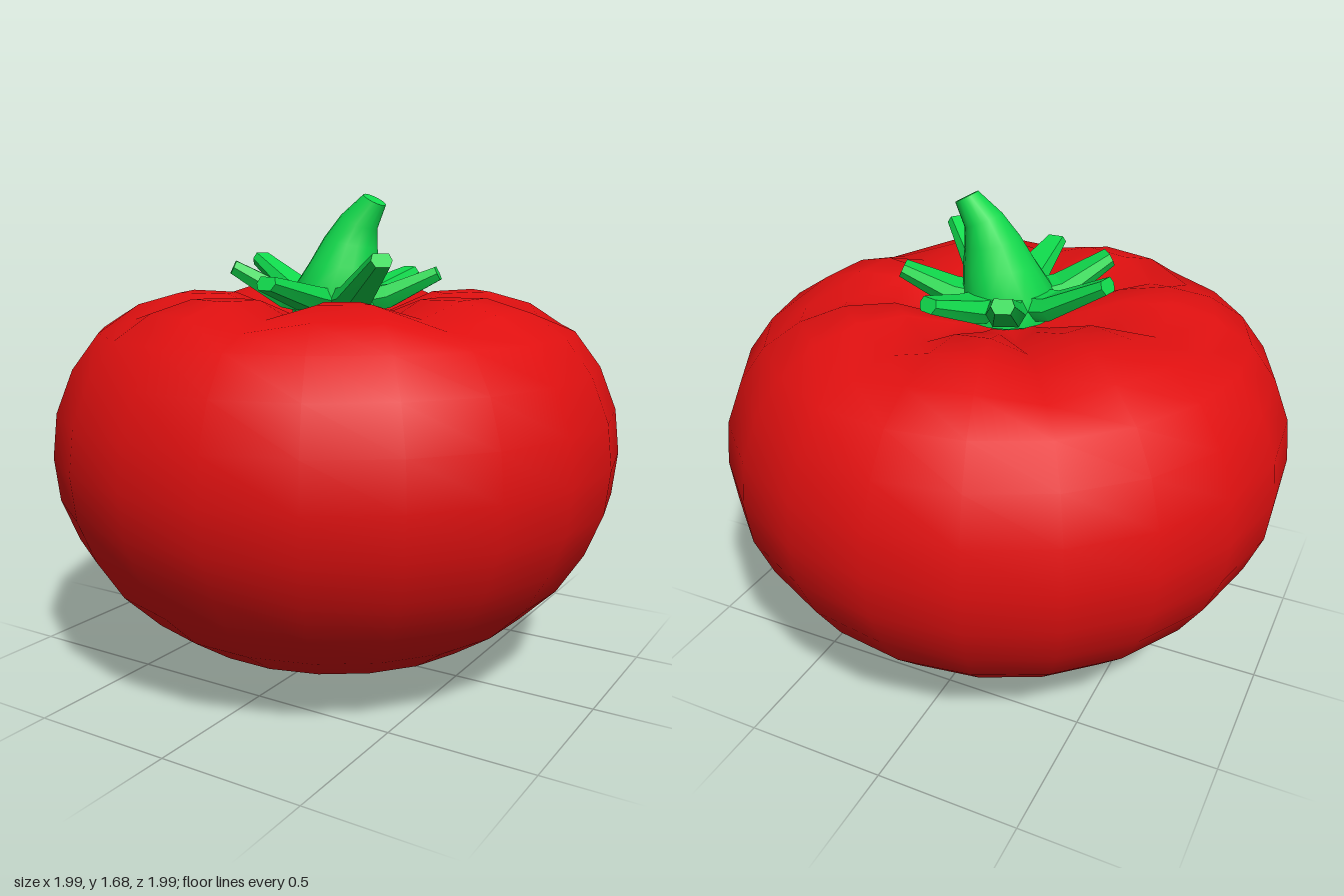
import * as THREE from 'three';
import { mergeVertices, toCreasedNormals } from 'three/addons/utils/BufferGeometryUtils.js';

const red = new THREE.MeshStandardMaterial({ color: 0xe01010 });
red.name = 'tomatoRed';
const green = new THREE.MeshStandardMaterial({ color: 0x10da4c });
green.name = 'leafGreen';

// Skin a closed solid over rings of points, with capped ends
function loft(rings, crease) {
  const out = [];
  const tri = (...pts) => pts.forEach((p) => out.push(p.x, p.y, p.z));
  const n = rings[0].length;
  for (let i = 0; i < rings.length - 1; i++) {
    for (let j = 0; j < n; j++) {
      const k = (j + 1) % n;
      tri(rings[i][j], rings[i][k], rings[i + 1][k]);
      tri(rings[i][j], rings[i + 1][k], rings[i + 1][j]);
    }
  }
  const first = rings[0];
  const last = rings[rings.length - 1];
  for (let j = 1; j < n - 1; j++) {
    tri(first[0], first[j + 1], first[j]);
    tri(last[0], last[j], last[j + 1]);
  }
  const geo = new THREE.BufferGeometry();
  geo.setAttribute('position', new THREE.Float32BufferAttribute(out, 3));
  return toCreasedNormals(geo, crease);
}

function addMesh(group, geo, material, name) {
  const mesh = new THREE.Mesh(geo, material);
  mesh.name = name;
  group.add(mesh);
}

// Squat fruit with a dimple and seven creases running into it
function fruitGeometry() {
  const profile = [
    [0, 0.005], [0.2, 0.022], [0.39, 0.068], [0.56, 0.143], [0.71, 0.243], [0.835, 0.365],
    [0.925, 0.505], [0.983, 0.65], [1, 0.8], [0.983, 0.953], [0.925, 1.1], [0.835, 1.22],
    [0.71, 1.3], [0.56, 1.342], [0.39, 1.338], [0.2, 1.27], [0, 1.22],
  ];
  const drop = { 12: 0.035, 13: 0.05, 14: 0.055, 15: 0.04 }; // crease depth per ring
  const sides = 21;
  const geo = new THREE.LatheGeometry(profile.map(([r, y]) => new THREE.Vector2(r, y)), sides, Math.PI);
  const pos = geo.attributes.position;
  for (let i = 0; i <= sides; i++) {
    if (i % 3 !== 2) continue;
    for (const ring in drop) {
      const v = i * profile.length + Number(ring);
      pos.setY(v, pos.getY(v) - drop[ring]);
    }
  }
  geo.deleteAttribute('uv');
  geo.deleteAttribute('normal');
  const welded = mergeVertices(geo, 1e-4);
  welded.computeVertexNormals();
  return welded;
}

// Tapered six-sided leaf from the calyx centre to its raised tip
function leafGeometry(tipX, tipY, tipZ) {
  const reach = Math.hypot(tipX, tipZ);
  const out = new THREE.Vector3(tipX / reach, 0, tipZ / reach);
  const side = new THREE.Vector3(out.z, 0, -out.x);
  const sections = [ // distance, height, half width, half thickness, lean
    [0.06, 1.31, 0.078, 0.045, 0],
    [0.19, 1.335, 0.066, 0.04, 0.3],
    [reach - 0.01, tipY - 0.025, 0.037, 0.024, 0.45],
  ];
  const outline = [[1, 0], [0.75, 1], [-0.75, 1], [-1, 0], [-0.65, -1], [0.65, -1]];
  return loft(sections.map(([d, y, w, t, lean]) => outline.map(([a, b]) => {
    const p = out.clone().multiplyScalar(d - b * t * Math.sin(lean));
    p.addScaledVector(side, a * w);
    p.y = y + b * t * Math.cos(lean);
    return p;
  })), 0.2);
}

// Stem that narrows and leans to the left
function stemGeometry() {
  const rings = [ // x, y, z, radius, tilt
    [0, 1.27, 0, 0.16, 0], [0, 1.36, 0, 0.155, 0], [0.03, 1.44, -0.005, 0.125, 0.08],
    [0.052, 1.52, -0.012, 0.096, 0.2], [0.082, 1.59, -0.018, 0.068, 0.4],
    [0.14, 1.665, -0.025, 0.043, 0.5],
  ];
  const sides = 16;
  return loft(rings.map(([x, y, z, r, tilt]) => Array.from({ length: sides }, (_, j) => {
    const a = (j / sides) * Math.PI * 2;
    const c = r * Math.cos(a);
    return new THREE.Vector3(x + c * Math.cos(tilt), y - c * Math.sin(tilt), z - r * Math.sin(a));
  })), 0.8);
}

export function createModel() {
  const model = new THREE.Group();
  model.name = 'tomato';
  addMesh(model, fruitGeometry(), red, 'fruit');

  const calyx = new THREE.Group();
  calyx.name = 'calyx';
  const hub = new THREE.CylinderGeometry(0.15, 0.12, 0.1, 14);
  hub.translate(0, 1.3, 0);
  addMesh(calyx, toCreasedNormals(hub, 0.6), green, 'calyxHub');
  const tips = [
    [0, 1.42, 0.44], [-0.29, 1.46, 0.235], [-0.4, 1.48, -0.085], [-0.165, 1.48, -0.39],
    [0.115, 1.43, -0.37], [0.35, 1.44, -0.125], [0.345, 1.495, 0.28],
  ];
  tips.forEach((tip, i) => addMesh(calyx, leafGeometry(...tip), green, `leaf${i + 1}`));
  model.add(calyx);

  addMesh(model, stemGeometry(), green, 'stem');
  return model;
}
